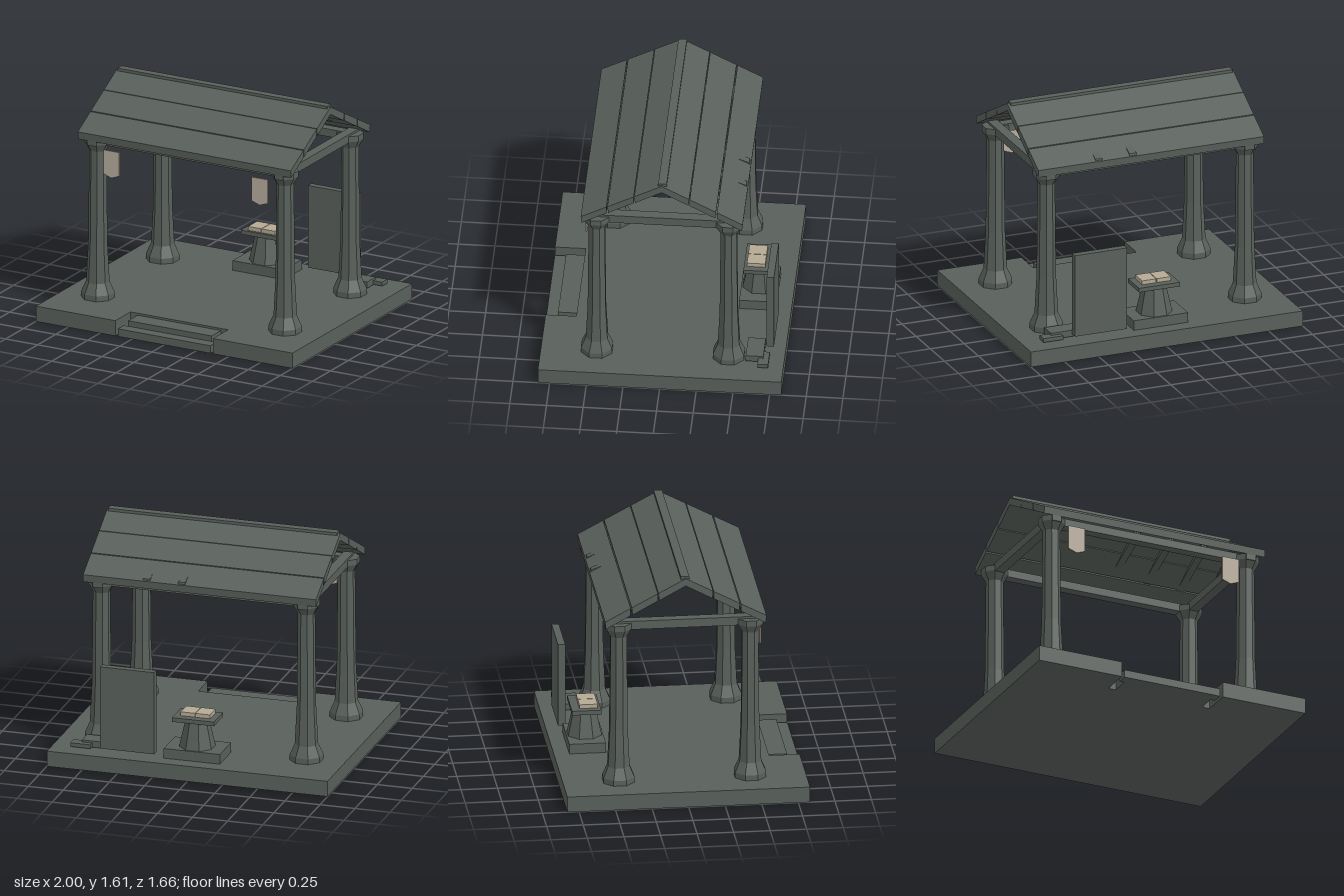
import * as THREE from 'three';

const mat = (color) => new THREE.MeshStandardMaterial({ color, flatShading: true });
const stone = mat(0x59605b);
const cloth = mat(0xb8ac9c);
cloth.side = THREE.DoubleSide;
const paper = mat(0xb5a993);

export function createModel() {
  const model = new THREE.Group();

  const add = (name, geometry, material = stone, parent = model) => {
    const mesh = new THREE.Mesh(geometry, material);
    mesh.name = name;
    parent.add(mesh);
    return mesh;
  };

  // Box given by its min and max on each axis
  const box = (name, x0, x1, y0, y1, z0, z1, material) => {
    const mesh = add(name, new THREE.BoxGeometry(x1 - x0, y1 - y0, z1 - z0), material);
    mesh.position.set((x0 + x1) / 2, (y0 + y1) / 2, (z0 + z1) / 2);
    return mesh;
  };

  const shapeOf = (points) => new THREE.Shape(points.map(([a, b]) => new THREE.Vector2(a, b)));

  // Section in (z, y) drawn out along x, centred on x = 0
  const alongX = (points, length) =>
    new THREE.ExtrudeGeometry(shapeOf(points), { depth: length, bevelEnabled: false })
      .rotateY(-Math.PI / 2)
      .translate(length / 2, 0, 0);

  // Eight-sided turned solid with flats facing the axes; profile is [apothem, y]
  const octagon = (profile) =>
    new THREE.LatheGeometry(
      profile.map(([r, y]) => new THREE.Vector2(r / Math.cos(Math.PI / 8), y)), 8, Math.PI / 8);

  // Floor slab with a notch for the steps
  const floor = new THREE.ExtrudeGeometry(shapeOf([
    [-1, -0.83], [-0.38, -0.83], [-0.38, -0.62], [0.38, -0.62],
    [0.38, -0.83], [1, -0.83], [1, 0.83], [-1, 0.83],
  ]), { depth: 0.11, bevelEnabled: false }).rotateX(-Math.PI / 2);
  add('floor', floor);
  box('upperStep', -0.325, 0.325, 0, 0.095, 0.62, 0.75);
  box('lowerStep', -0.36, 0.36, 0, 0.055, 0.75, 0.83);

  // Columns with flared feet and capitals
  const columnGeometry = octagon([
    [0, 0.11], [0.106, 0.11], [0.106, 0.148], [0.074, 0.225], [0.061, 0.5],
    [0.055, 1.17], [0.085, 1.225], [0.085, 1.265], [0, 1.265],
  ]);
  for (const x of [-0.73, 0.73]) {
    for (const z of [-0.45, 0.45]) add('column', columnGeometry).position.set(x, 0, z);
  }

  // Beams resting on the columns
  for (const s of [-1, 1]) {
    box('sideBeam', s * 0.73 - 0.035, s * 0.73 + 0.035, 1.22, 1.28, -0.54, 0.54);
    box('longBeam', -0.73, 0.73, 1.22, 1.275, s * 0.45 - 0.035, s * 0.45 + 0.035);
  }

  // Roof: three planks on each slope, with narrow gaps
  const roofTop = (z) => 1.6 - z * 0.53;
  const thick = 0.053;
  for (const s of [-1, 1]) {
    for (const [a, b] of [[0, 0.187], [0.191, 0.37], [0.377, 0.552]]) {
      add('roofPlank', alongX([
        [s * a, roofTop(a)], [s * b, roofTop(b)],
        [s * (b - 0.005), roofTop(b) - thick], [s * a, roofTop(a) - thick],
      ], 1.66));
    }
  }
  box('ridgeCap', -0.815, 0.815, 1.59, 1.61, -0.033, 0.025);

  // Slipped rafters under the back slope, their ends breaking through
  for (const [x, end] of [[0.13, 1.325], [0.38, 1.322], [0.63, 1.313]]) {
    const rafter = add('slippedRafter', alongX([
      [0, 1.535], [-0.54, end], [-0.55, end - 0.035], [-0.005, 1.5],
    ], 0.05));
    rafter.position.x = x;
  }

  // Lectern with an open book
  box('lecternBase', -0.2, 0.2, 0.11, 0.18, -0.725, -0.475);
  add('lecternPedestal', octagon([[0, 0.18], [0.115, 0.18], [0.075, 0.37], [0, 0.37]]))
    .position.z = -0.6;
  box('lecternTop', -0.15, 0.15, 0.37, 0.4, -0.7, -0.5);
  for (const s of [-1, 1]) {
    box('bookPage', s < 0 ? -0.105 : 0.002, s < 0 ? -0.002 : 0.105,
      0.4, 0.428, -0.645, -0.52, paper);
  }

  // Standing slab and loose stones beside it
  box('standingSlab', 0.26, 0.645, 0.14, 0.73, -0.75, -0.7);
  box('looseStone', 0.59, 0.795, 0.12, 0.165, -0.69, -0.57);
  box('looseStone', 0.72, 0.865, 0.122, 0.15, -0.728, -0.655);

  // Pointed banners on the front
  const bannerGeometry = new THREE.ExtrudeGeometry(shapeOf([
    [-0.062, 1.205], [-0.062, 1.035], [0, 1.012], [0.062, 1.035], [0.062, 1.205],
  ]), { depth: 0.01, bevelEnabled: false });
  for (const s of [-1, 1]) add('banner', bannerGeometry, cloth).position.set(s * 0.578, 0, 0.525);

  return model;
}
